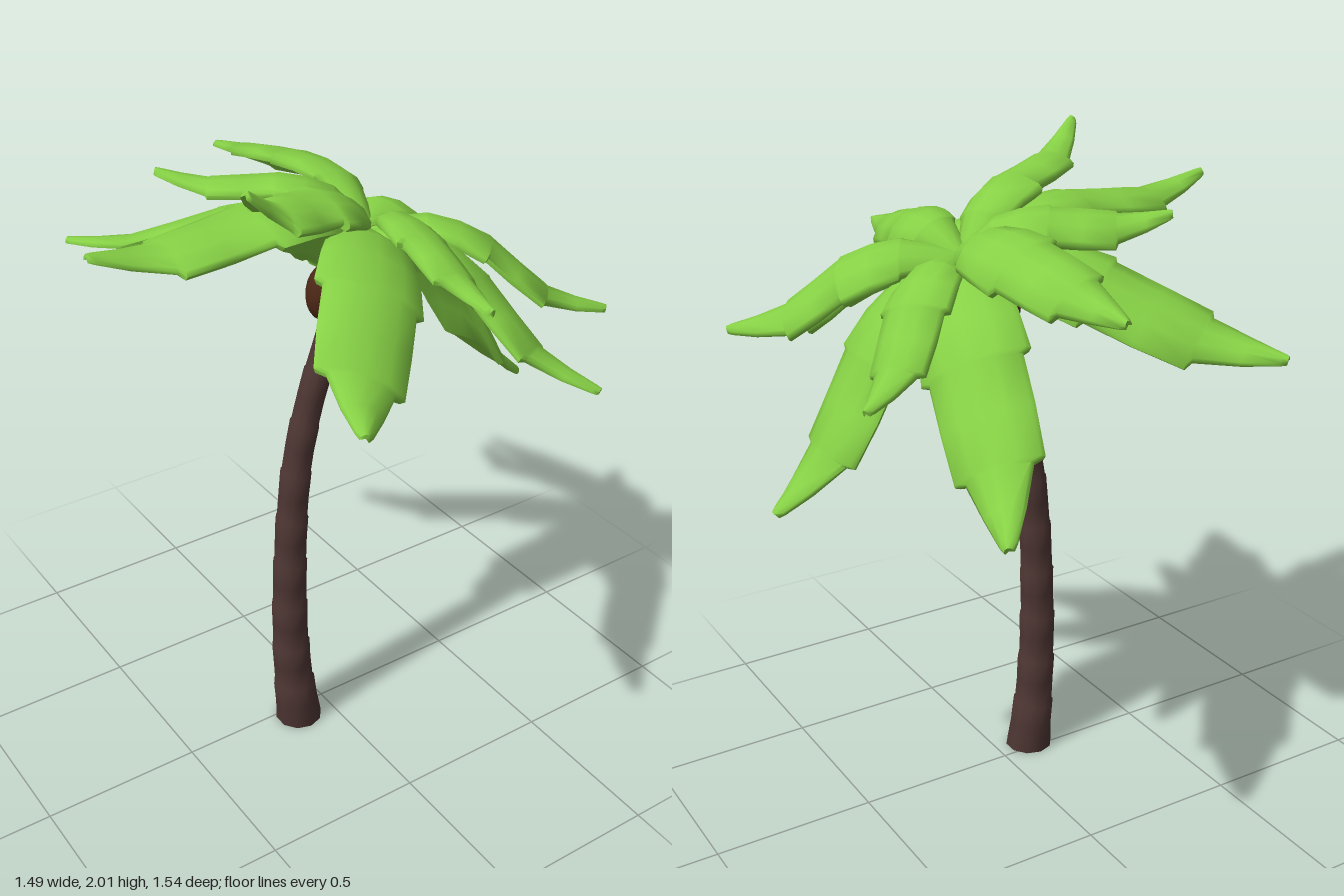
import * as THREE from 'three';
import { toCreasedNormals } from 'three/addons/utils/BufferGeometryUtils.js';

const V = (x, y, z) => new THREE.Vector3(x, y, z);
const mat = (color) => new THREE.MeshStandardMaterial({ color, side: THREE.DoubleSide });

// Skin a list of equal-sized rings, closing both ends with fans
function loft(rings, crease) {
  const n = rings[0].length, pos = [], idx = [];
  rings.forEach((r) => r.forEach((p) => pos.push(p.x, p.y, p.z)));
  for (let j = 0; j < rings.length - 1; j++) {
    for (let i = 0; i < n; i++) {
      const a = j * n + i, b = j * n + (i + 1) % n;
      idx.push(a, b, b + n, a, b + n, a + n);
    }
  }
  [0, rings.length - 1].forEach((j, end) => {
    const c = pos.length / 3, mid = V(0, 0, 0);
    rings[j].forEach((p) => mid.addScaledVector(p, 1 / n));
    pos.push(mid.x, mid.y, mid.z);
    for (let i = 0; i < n; i++) {
      const a = j * n + i, b = j * n + (i + 1) % n;
      if (end) idx.push(c, a, b);
      else idx.push(c, b, a);
    }
  });
  const g = new THREE.BufferGeometry();
  g.setAttribute('position', new THREE.Float32BufferAttribute(pos, 3));
  g.setIndex(idx);
  return toCreasedNormals(g, crease);
}

// Crown centre and its tilted axis
const CROWN = V(0.12, 1.68, 0.03);
const AXIS = V(0.47, 0.88, 0).normalize();

// Arched leaf section with a rounded rim: [fraction of half width, height]
const SECTION = [
  [1, -0.034], [0.93, -0.018], [0.5, 0.01], [0, 0.02], [-0.5, 0.01], [-0.93, -0.018],
  [-1, -0.034], [-0.92, -0.048], [-0.5, -0.03], [0, -0.018], [0.5, -0.03], [0.92, -0.048],
];
// Serrated outline: [position along the leaf, fraction of half width]
const OUTLINE = [
  [0, 0.3], [0.12, 0.52], [0.25, 0.74], [0.26, 0.83], [0.38, 0.96], [0.5, 1.03], [0.51, 0.88],
  [0.63, 0.87], [0.75, 0.82], [0.76, 0.62], [0.88, 0.38], [0.98, 0.16], [1, 0.09],
];

// A frond arches from the crown to its tip; base, mid and outer are heights above the chord
function frondGeometry(tip, halfWidth, base, mid, outer) {
  const d = tip.clone().sub(CROWN);
  const knots = [[0, base], [0.2, mid + 0.01], [0.46, mid], [0.74, outer], [1, 0]];
  const path = new THREE.CatmullRomCurve3(
    knots.map(([s, b]) => CROWN.clone().addScaledVector(d, s).addScaledVector(AXIS, b)));
  const side = AXIS.clone().cross(d).normalize();
  const rings = OUTLINE.map(([t, w]) => {
    const p = path.getPoint(t);
    const up = path.getTangent(t).cross(side).normalize();
    return SECTION.map(([u, v]) => p.clone()
      .addScaledVector(side, u * w * halfWidth)
      .addScaledVector(up, v * (0.25 + 0.75 * w)));
  });
  return loft(rings, 1.2);
}

// Trunk: stacked sleeves that step outward at each joint, flared at the foot and tapered at the top
function trunkGeometry() {
  const path = new THREE.CatmullRomCurve3([
    V(-0.113, 0, 0.035), V(-0.133, 0.2, 0.035), V(-0.142, 0.4, 0.035), V(-0.14, 0.6, 0.035),
    V(-0.13, 0.8, 0.035), V(-0.108, 1, 0.035), V(-0.06, 1.2, 0.035), V(0.008, 1.4, 0.035),
    V(0.08, 1.6, 0.035),
  ]);
  const sleeves = 10, sides = 10, rings = [];
  const radius = (t) => (0.064 - 0.028 * t + 0.014 * Math.exp(-t * 14)) * Math.min(1, 0.4 + (1 - t) * 6);
  for (let k = 0; k < sleeves; k++) {
    [[0.02, 0.97], [0.5, 0.99], [0.98, 1.04]].forEach(([f, swell]) => {
      const t = k === 0 && f < 0.1 ? 0 : (k + f) / sleeves;
      const p = path.getPoint(t);
      const tangent = t === 0 ? V(0, 1, 0) : path.getTangent(t);
      const side = V(0, 0, 1), up = tangent.cross(side).normalize();
      const r = radius(t) * swell;
      rings.push(Array.from({ length: sides }, (_, i) => {
        const a = (i / sides) * Math.PI * 2;
        return p.clone().addScaledVector(side, r * Math.cos(a)).addScaledVector(up, r * Math.sin(a));
      }));
    });
  }
  return loft(rings, 0.9);
}

export function createModel() {
  const group = new THREE.Group();
  const bark = mat(0x4b3431), leaf = mat(0x86d045), shell = mat(0x4c2716);
  const add = (name, geometry, material, parent = group) => {
    const m = new THREE.Mesh(geometry, material);
    m.name = name;
    parent.add(m);
    return m;
  };

  add('trunk', trunkGeometry(), bark);

  // Lower, long fronds: tip x, y, z and half width
  const lower = new THREE.Group();
  lower.name = 'lowerFronds';
  [
    [-0.74, 1.84, 0.06, 0.14], [-0.44, 1.51, -0.73, 0.145], [0.46, 1.19, -0.77, 0.155],
    [0.74, 1.04, 0.03, 0.175], [0.43, 1.39, 0.71, 0.135], [-0.38, 1.55, 0.76, 0.155],
  ].forEach(([x, y, z, w]) => add('lowerFrond', frondGeometry(V(x, y, z), w, 0, 0.072, -0.005), leaf, lower));

  // Upper, shorter fronds: tip x, y, z, half width and heights of the arch
  const upper = new THREE.Group();
  upper.name = 'upperFronds';
  [
    [-0.4, 2.0, 0.27, 0.11, 0, 0.045, -0.015], [-0.33, 1.84, -0.34, 0.11, 0.02, 0.07, 0.01],
    [0.1, 1.7, -0.74, 0.12, 0.03, 0.095, 0.045], [0.6, 1.42, -0.29, 0.115, 0.02, 0.07, 0],
    [0.68, 1.46, 0.45, 0.13, 0.015, 0.075, -0.005], [0.11, 1.68, 0.62, 0.1, 0.015, 0.075, 0.03],
  ].forEach(([x, y, z, w, ...arch]) => add('upperFrond', frondGeometry(V(x, y, z), w, ...arch), leaf, upper));
  group.add(lower, upper);

  // Coconuts hanging either side of the trunk top
  [[-0.01, 1.53, 0.04, 0.059, 0.086, -0.15], [0.12, 1.49, 0.04, 0.045, 0.066, 0.15]]
    .forEach(([x, y, z, r, h, lean]) => {
      const nut = add('coconut', new THREE.SphereGeometry(1, 16, 12), shell);
      nut.scale.set(r, h, r);
      nut.position.set(x, y, z);
      nut.rotation.z = lean;
    });
  return group;
}
